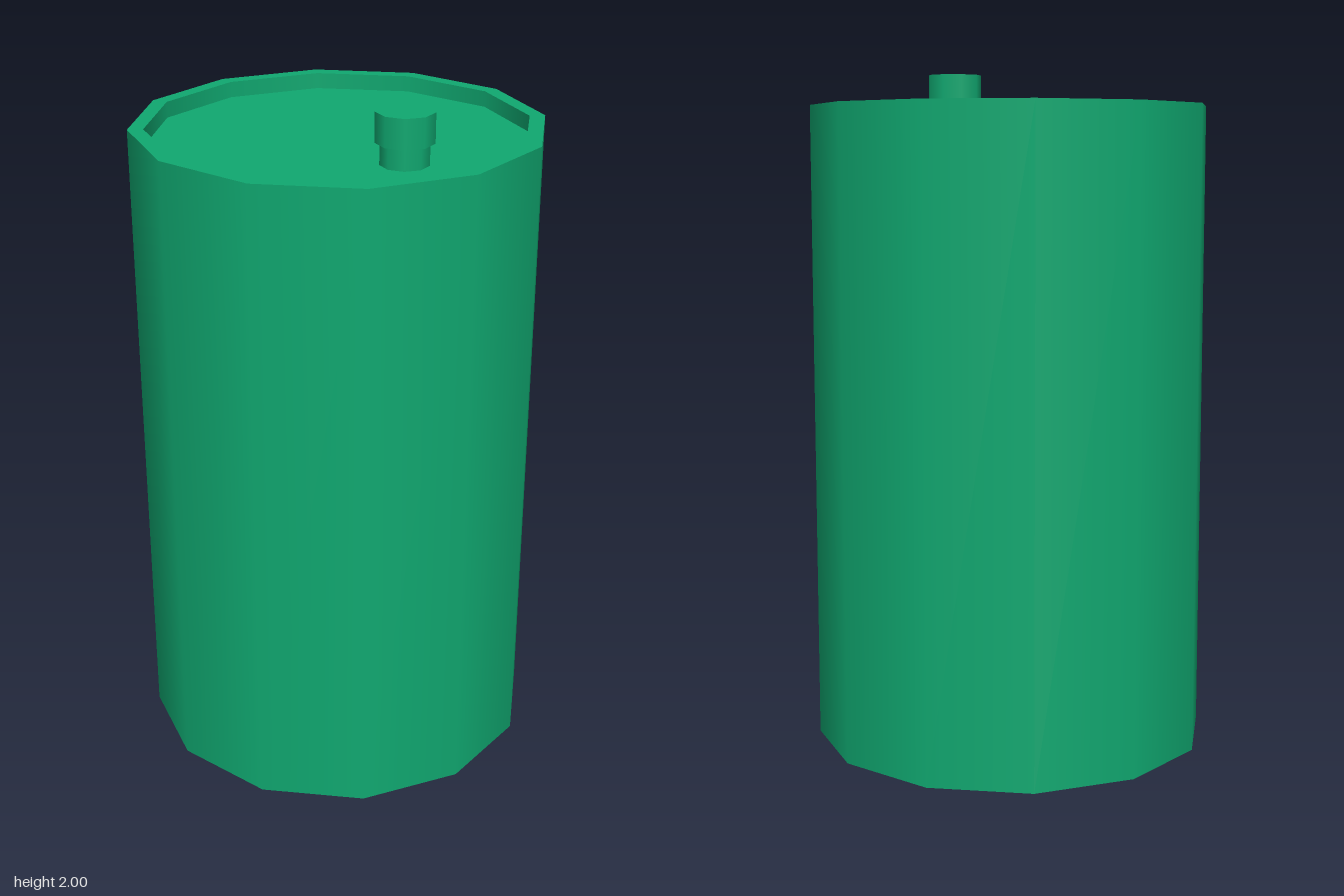
import * as THREE from 'three';

const SIDES = 12, R = 0.59, RIM = 0.545, TOP = 1.9, FLOOR = 1.853;
const CAP_X = 0.2925;

export function createModel() {
  const group = new THREE.Group();
  const green = new THREE.MeshStandardMaterial({ color: 0x10a870 });
  const greenInside = new THREE.MeshStandardMaterial({ color: 0x10a870, side: THREE.BackSide });

  const add = (name, geometry, material = green) => {
    const mesh = new THREE.Mesh(geometry, material);
    mesh.name = name;
    group.add(mesh);
    return mesh;
  };

  // Upright prism between two heights, with one corner on +x
  const prism = (radius, y0, y1, sides, open = false) =>
    new THREE.CylinderGeometry(radius, radius, y1 - y0, sides, 1, open, Math.PI / 2)
      .translate(0, (y0 + y1) / 2, 0);

  // Flat face turned up (or down) at a given height
  const flat = (geometry, y, up = true) =>
    geometry.rotateX(up ? -Math.PI / 2 : Math.PI / 2).translate(0, y, 0);

  // Drum body with a raised rim around the sunken lid
  add('drumWall', prism(R, 0, TOP, SIDES, true));
  add('drumBottom', flat(new THREE.CircleGeometry(R, SIDES), 0, false));
  add('rimTop', flat(new THREE.RingGeometry(RIM, R, SIDES, 1), TOP));
  add('rimInnerWall', prism(RIM, FLOOR, TOP, SIDES, true), greenInside);
  add('lid', flat(new THREE.CircleGeometry(RIM, SIDES), FLOOR));

  // Filler neck and its wider screw cap
  add('fillerNeck', prism(0.069, FLOOR, 1.915, 9)).position.x = CAP_X;
  add('fillerCap', prism(0.0827, 1.915, 2, 9)).position.x = CAP_X;

  return group;
}
